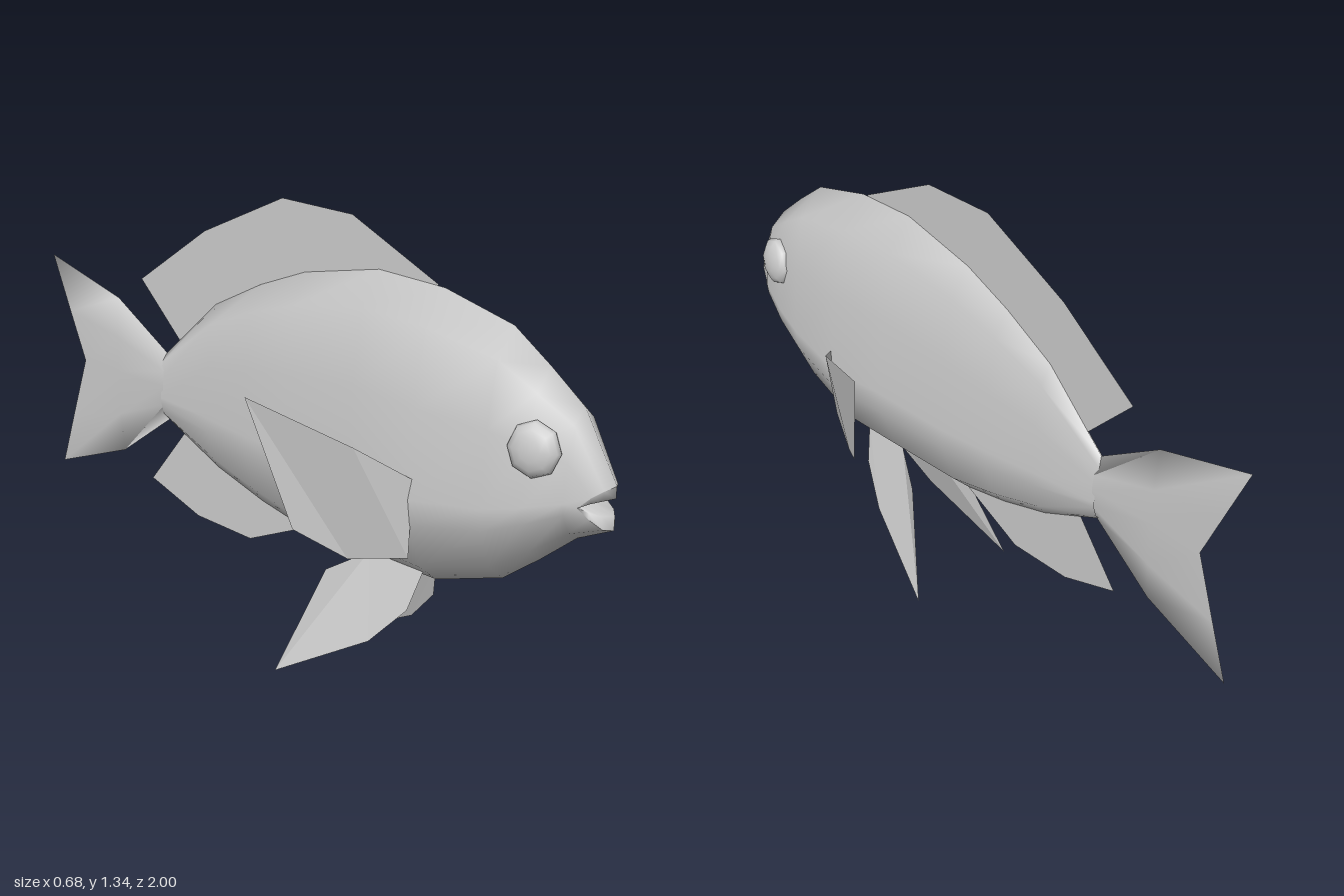
import * as THREE from 'three';

const skin = new THREE.MeshStandardMaterial({ color: 0xcccccc });
const finSkin = new THREE.MeshStandardMaterial({ color: 0xcccccc, side: THREE.DoubleSide, flatShading: true });

function meshFrom(points, index, material, name) {
  const g = new THREE.BufferGeometry();
  g.setAttribute('position', new THREE.Float32BufferAttribute(points.flat(), 3));
  g.setIndex(index);
  g.computeVertexNormals();
  const m = new THREE.Mesh(g, material);
  m.name = name;
  return m;
}

// Half section (top to bottom, x >= 0) mirrored into a closed ring
const fullRing = (half) => [...half, ...half.slice(1, -1).reverse().map(([x, y, z]) => [-x, y, z])];

// Skin over rings ordered from the nose towards the tail
function loft(halves, name) {
  const rings = halves.map(fullRing), n = rings[0].length, index = [];
  for (let i = 0; i < rings.length - 1; i++) {
    for (let j = 0; j < n; j++) {
      const a = i * n + j, b = i * n + (j + 1) % n;
      index.push(a, b, a + n, b, b + n, a + n);
    }
  }
  return meshFrom(rings.flat(), index, skin, name);
}

// Thin fin: a strip between two edges of equal point count
function fin(outer, inner, name) {
  const n = outer.length, index = [];
  for (let i = 0; i < n - 1; i++) index.push(i, i + 1, n + i, i + 1, n + i + 1, n + i);
  return meshFrom([...outer, ...inner], index, finSkin, name);
}

const onCentre = (pts) => pts.map(([z, y]) => [0, y, z]);
const mirrorX = (pts, s) => pts.map(([x, y, z]) => [s * x, y, z]);

export function createModel() {
  const model = new THREE.Group();
  model.name = 'fish';

  // Body: [width share, height share] of a section, and [z, top, bottom, half width] stations
  const section = [[0, 1], [0.57, 0.89], [0.87, 0.64], [1, 0.34], [0.96, 0.25], [0.57, 0.08], [0, 0]];
  const stations = [
    [0.9, 0.94, 0.59, 0.085], [0.8, 1.025, 0.505, 0.112], [0.69, 1.11, 0.42, 0.128],
    [0.48, 1.173, 0.355, 0.145], [0.27, 1.19, 0.368, 0.128], [0.02, 1.145, 0.385, 0.1],
    [-0.14, 1.085, 0.43, 0.077], [-0.31, 1.0, 0.495, 0.053], [-0.52, 0.81, 0.61, 0.025],
  ];
  const lips = [[0, 0.755, 1], [0.035, 0.748, 0.985], [0.055, 0.73, 0.96], [0.067, 0.7, 0.93],
    [0.052, 0.672, 0.955], [0.032, 0.645, 0.985], [0, 0.637, 1]];
  const rings = stations.map(([z, top, bottom, w]) =>
    section.map(([sx, sy]) => [sx * w, bottom + sy * (top - bottom), z]));
  model.add(loft([lips, ...rings], 'body'));

  // Mouth: lip edges turning in to a shallow cavity
  const lipEdge = [[0, 0.722, 1], [0.032, 0.72, 0.98], [0.05, 0.712, 0.955], [0.065, 0.7, 0.93],
    [0.05, 0.688, 0.955], [0.032, 0.68, 0.98], [0, 0.676, 1]];
  const throat = lipEdge.map(([x]) => [x * 0.9, 0.7, 0.925]);
  model.add(loft([throat, lipEdge, lips], 'mouth'));

  // Tail: a lens that thins out to a forked edge
  const tailSection = [[0, 1], [0.8, 0.75], [1, 0.53], [0.8, 0.25], [0, 0]];
  const tailStations = [
    [-0.51, 0.815, 0.605, 0.026, 0], [-0.71, 0.955, 0.46, 0.014, 0], [-0.87, 1.05, 0.36, 0.002, 0.125],
  ];
  model.add(loft(tailStations.map(([z, top, bottom, w, fork]) => tailSection.map(([sx, sy]) =>
    [sx * w, bottom + sy * (top - bottom), z - fork * Math.abs(sy - 0.53) / (sy > 0.53 ? 0.47 : 0.53)])), 'tailFin'));

  // Fins on the centre line
  model.add(fin(
    onCentre([[0.46, 1.178], [0.18, 1.325], [-0.06, 1.34], [-0.35, 1.21], [-0.61, 1.03]]),
    onCentre([[0.44, 1.165], [0.25, 1.17], [0.02, 1.125], [-0.25, 1.0], [-0.455, 0.86]]), 'dorsalFin'));
  model.add(fin(
    onCentre([[0.02, 0.385], [-0.19, 0.295], [-0.4, 0.315], [-0.59, 0.395]]),
    onCentre([[0.0, 0.4], [-0.14, 0.45], [-0.31, 0.51], [-0.45, 0.572]]), 'analFin'));

  for (const [side, s] of [['left', 1], ['right', -1]]) {
    // Pectoral fins
    model.add(fin(
      mirrorX([[0.138, 0.69, 0.49], [0.24, 0.78, 0.37], [0.34, 0.885, 0.09]], s),
      mirrorX([[0.138, 0.465, 0.48], [0.205, 0.445, 0.33], [0.278, 0.52, 0.2]], s), side + 'PectoralFin'));

    // Pelvic fins
    model.add(fin(
      mirrorX([[0.065, 0.27, 0.43], [0.105, 0.16, 0.33], [0.175, 0.005, 0.05]], s),
      mirrorX([[0.03, 0.39, 0.46], [0.04, 0.395, 0.28], [0.093, 0.33, 0.17]], s), side + 'PelvicFin'));

    // Eyes
    const eye = new THREE.Mesh(new THREE.SphereGeometry(1, 8, 8).rotateX(Math.PI / 2).rotateY(Math.PI / 2), skin);
    eye.name = side + 'Eye';
    eye.scale.set(0.036, 0.075, 0.073);
    eye.position.set(s * 0.09, 0.835, 0.815);
    eye.rotation.set(0, -s * 0.12, s * 0.12);
    model.add(eye);
  }
  return model;
}
